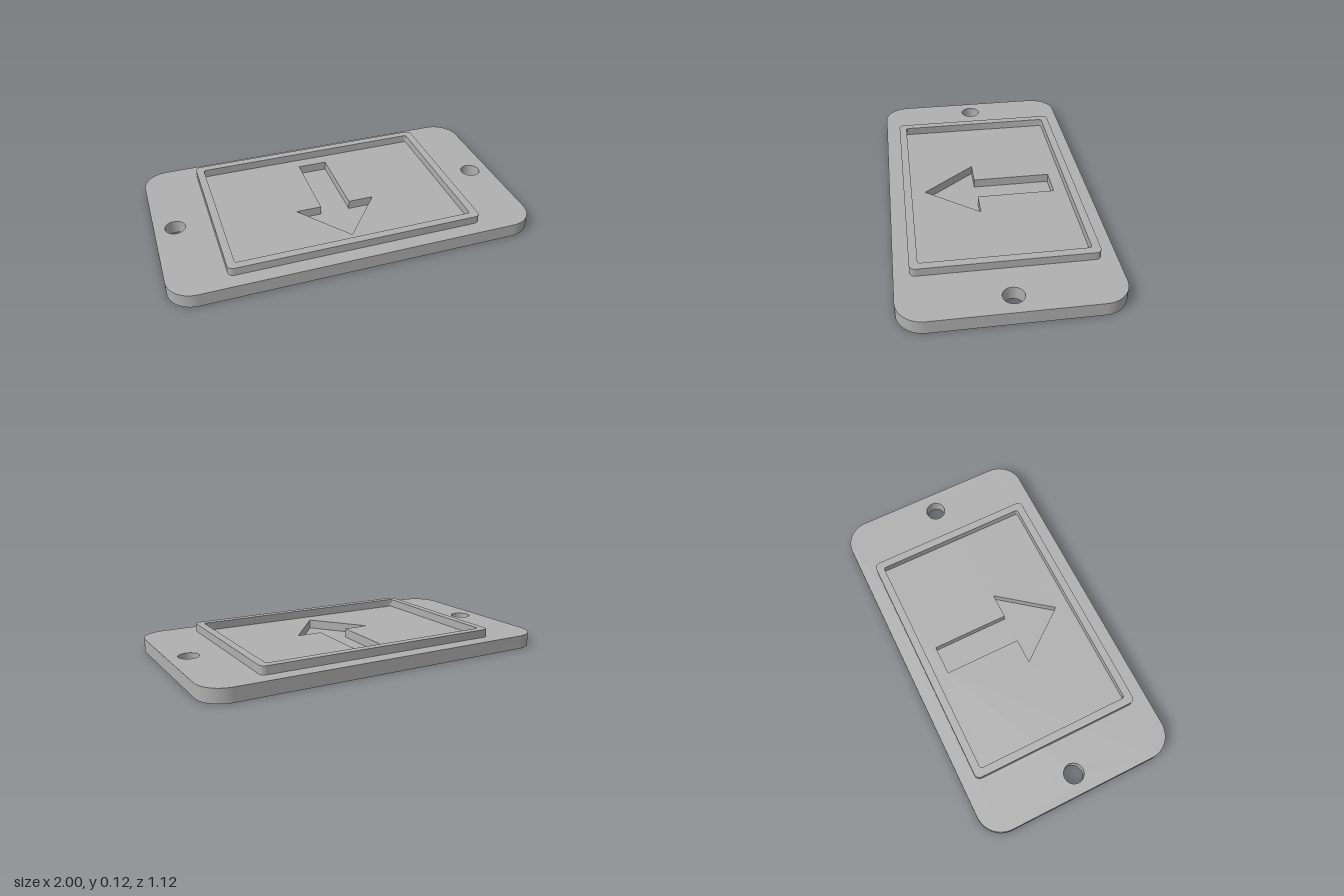
import * as THREE from 'three';
import { toCreasedNormals } from 'three/addons/utils/BufferGeometryUtils.js';

const PLATE_TOP = 0.075, RIM_TOP = 0.12, ARROW_FLOOR = 0.025;

// Rounded rectangle centred on the origin, traced into a Shape or Path
function roundedRect(target, hw, hd, r) {
  target.moveTo(hw, -hd + r);
  target.lineTo(hw, hd - r);
  target.absarc(hw - r, hd - r, r, 0, Math.PI / 2);
  target.absarc(-hw + r, hd - r, r, Math.PI / 2, Math.PI);
  target.absarc(-hw + r, -hd + r, r, Math.PI, Math.PI * 1.5);
  target.absarc(hw - r, -hd + r, r, Math.PI * 1.5, Math.PI * 2);
  return target;
}

// Arrow outline pointing to the front (shape y is -z)
function arrowPoints() {
  const half = [[0.083, 0.365], [0.083, -0.07], [0.225, -0.07]];
  return [
    ...half.map(([x, y]) => new THREE.Vector2(x, y)),
    new THREE.Vector2(0, -0.36),
    ...half.slice().reverse().map(([x, y]) => new THREE.Vector2(-x, y)),
  ];
}

// Flat-lying slab between two heights
function slab(name, shape, y0, y1, material) {
  const geometry = new THREE.ExtrudeGeometry(shape, { depth: y1 - y0, bevelEnabled: false, curveSegments: 16 });
  geometry.rotateX(-Math.PI / 2).translate(0, y0, 0);
  const mesh = new THREE.Mesh(toCreasedNormals(geometry, Math.PI / 6), material);
  mesh.name = name;
  return mesh;
}

export function createModel() {
  const group = new THREE.Group();
  group.name = 'arrowPlate';
  const grey = new THREE.MeshStandardMaterial({ color: 0xb0b0b0 });
  grey.name = 'grey';

  // Base plate with two screw holes and the arrow cut-out
  const plate = roundedRect(new THREE.Shape(), 1, 0.56, 0.14);
  for (const side of [-1, 1]) {
    plate.holes.push(new THREE.Path().absarc(side * 0.887, 0, 0.055, 0, Math.PI * 2, true));
  }
  plate.holes.push(new THREE.Path(arrowPoints()));
  group.add(slab('basePlate', plate, 0, PLATE_TOP, grey));

  // Floor of the recessed arrow
  group.add(slab('arrowFloor', new THREE.Shape(arrowPoints()), 0, ARROW_FLOOR, grey));

  // Raised rectangular rim
  const rim = roundedRect(new THREE.Shape(), 0.693, 0.479, 0.03);
  rim.holes.push(roundedRect(new THREE.Path(), 0.65, 0.436, 0.012));
  group.add(slab('raisedRim', rim, PLATE_TOP, RIM_TOP, grey));

  return group;
}
